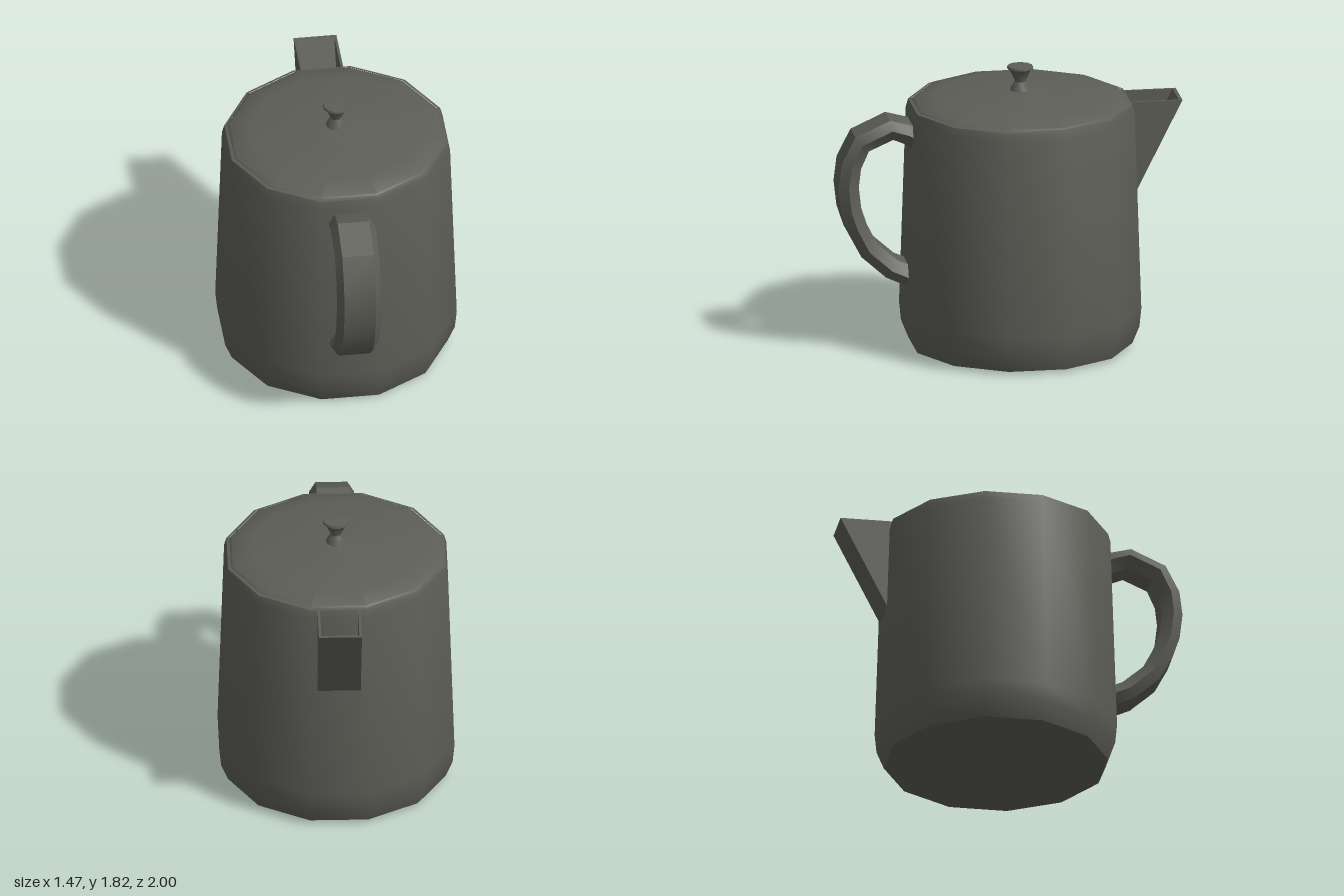
import * as THREE from 'three';
import { toCreasedNormals } from 'three/addons/utils/BufferGeometryUtils.js';

const SIDES = 12;
const CREASE = 0.6;

export function createModel() {
  const model = new THREE.Group();
  model.name = 'teapot';
  const metal = new THREE.MeshStandardMaterial({ color: 0x5e5e58 });
  metal.name = 'dark grey metal';

  // the pot's axis sits slightly behind the centre
  const pot = new THREE.Group();
  pot.name = 'pot';
  pot.position.z = -0.06;
  model.add(pot);

  const add = (name, geometry, parent = pot) => {
    const mesh = new THREE.Mesh(toCreasedNormals(geometry, CREASE), metal);
    mesh.name = name;
    parent.add(mesh);
    return mesh;
  };
  const lathe = (profile) => new THREE.LatheGeometry(
    profile.map(([r, y]) => new THREE.Vector2(r, y)), SIDES, Math.PI / SIDES);

  // body with a rounded foot and a bevelled rim
  add('body', lathe([
    [0, 0], [0.705, 0.02], [0.75, 0.13], [0.762, 0.25],
    [0.72, 1.52], [0.705, 1.575], [0.685, 1.58],
  ]));

  // shallow lid
  add('lid', lathe([
    [0.69, 1.57], [0.673, 1.588], [0.53, 1.622], [0.25, 1.633], [0.06, 1.655], [0, 1.657],
  ]));

  // waisted knob
  add('knob', lathe([
    [0.065, 1.65], [0.06, 1.665], [0.035, 1.71], [0.038, 1.725],
    [0.068, 1.785], [0.083, 1.795], [0.08, 1.81], [0, 1.815],
  ]));

  // spout: open V channel, local x points away from the pot
  const spout = new THREE.Group();
  spout.name = 'spout';
  spout.rotation.y = Math.PI / 3;
  pot.add(spout);
  const plate = (points, depth, z) => {
    const shape = new THREE.Shape(points.map(([x, y]) => new THREE.Vector2(x, y)));
    return new THREE.ExtrudeGeometry(shape, { depth, bevelEnabled: false }).translate(0, 0, z);
  };
  const half = 0.135, wall = 0.016;
  for (const [name, z] of [['spoutLeftWall', -half], ['spoutRightWall', half - wall]]) {
    add(name, plate([[0.65, 1.578], [0.65, 1], [0.716, 1], [1.007, 1.578]], wall, z), spout);
  }
  add('spoutFloor', plate(
    [[0.69, 1], [0.716, 1], [1.007, 1.578], [0.985, 1.578]], 2 * (half - wall), wall - half), spout);

  // handle: six-sided section swept along a loop, opposite the spout
  const path = [
    [0.66, 1.39], [0.72, 1.425], [0.83, 1.46], [1.02, 1.375], [1.09, 1.23], [1.107, 1.09],
    [1.09, 0.94], [1.05, 0.82], [0.975, 0.675], [0.83, 0.545], [0.73, 0.5], [0.66, 0.49],
  ];
  const section = [
    [0.06, -0.1], [0.06, 0.1], [0, 0.14], [-0.07, 0.09], [-0.07, -0.09], [0, -0.14],
  ];
  const positions = [], index = [], n = section.length;
  path.forEach(([x, y], i) => {
    const a = path[Math.max(i - 1, 0)], b = path[Math.min(i + 1, path.length - 1)];
    const t = new THREE.Vector2(b[0] - a[0], b[1] - a[1]).normalize();
    for (const [out, side] of section) positions.push(x - t.y * out, y + t.x * out, side);
    if (i === 0) return;
    for (let k = 0; k < n; k++) {
      const p = (i - 1) * n + k, q = (i - 1) * n + (k + 1) % n;
      index.push(p, q, q + n, p, q + n, p + n);
    }
  });
  const sweep = new THREE.BufferGeometry();
  sweep.setAttribute('position', new THREE.Float32BufferAttribute(positions, 3));
  sweep.setIndex(index);
  add('handle', sweep).rotation.y = Math.PI * 4 / 3;

  return model;
}
